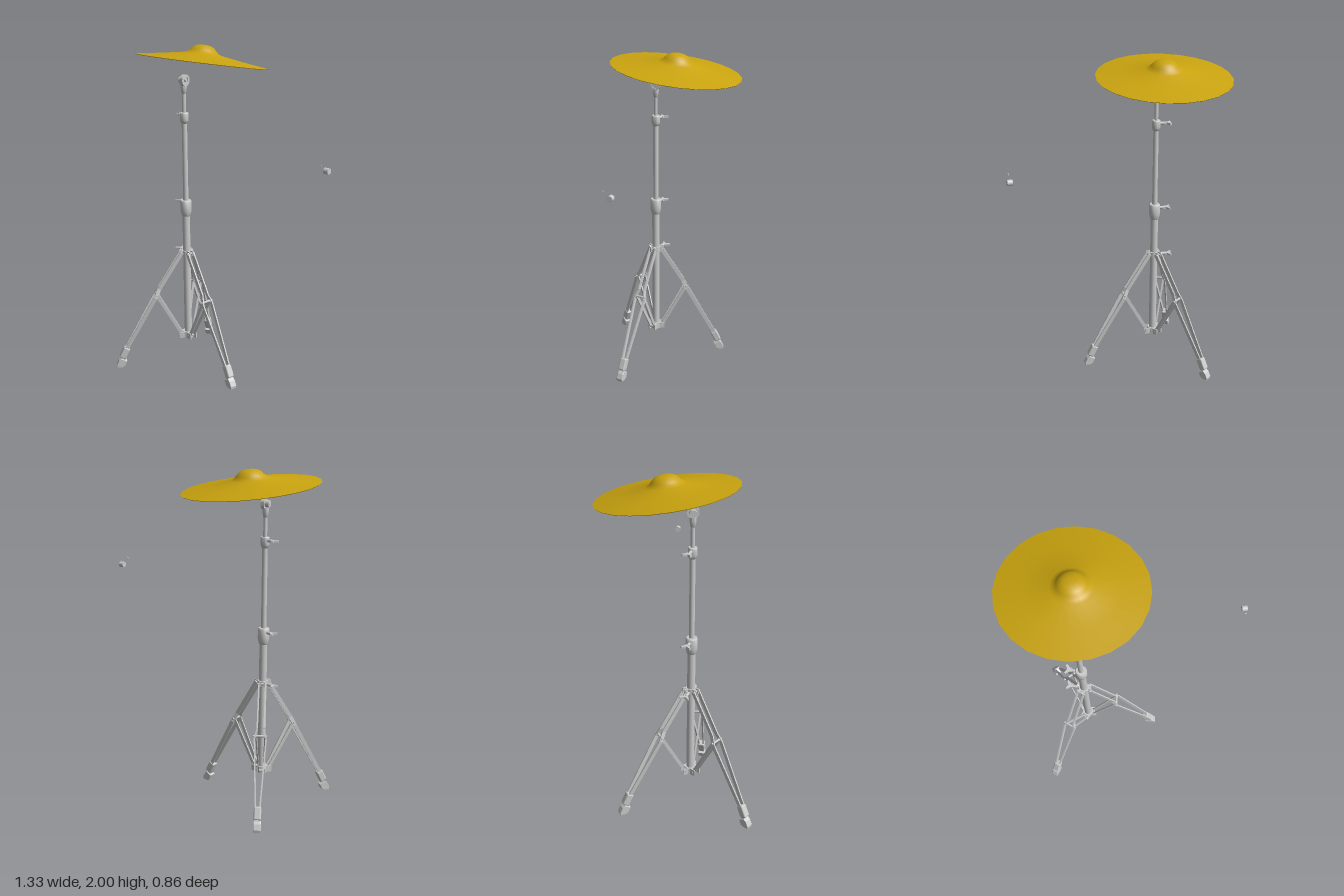
import * as THREE from 'three';
import { RoundedBoxGeometry } from 'three/addons/geometries/RoundedBoxGeometry.js';
import { toCreasedNormals } from 'three/addons/utils/BufferGeometryUtils.js';

const steel = new THREE.MeshStandardMaterial({ color: 0xcccccc });
const brass = new THREE.MeshStandardMaterial({ color: 0xc9a30f, side: THREE.DoubleSide });
const V = (x, y, z) => new THREE.Vector3(x, y, z);

function add(parent, name, geometry, pos = [0, 0, 0], material = steel) {
  const mesh = new THREE.Mesh(geometry, material);
  mesh.name = name;
  mesh.position.set(...pos);
  parent.add(mesh);
  return mesh;
}

// Turned part from [radius, height] pairs, listed bottom to top
function turned(points, segments = 20) {
  const g = new THREE.LatheGeometry(points.map(p => new THREE.Vector2(...p)), segments);
  return toCreasedNormals(g, 0.6);
}

// Rectangular bar between two points: width in the leg's plane, thickness sideways
function bar(parent, name, a, b, width, thick, rounded = 0) {
  const length = a.distanceTo(b);
  const g = rounded
    ? new RoundedBoxGeometry(length, width, thick, 2, rounded)
    : new THREE.BoxGeometry(length, width, thick);
  const mesh = add(parent, name, g);
  const x = b.clone().sub(a).normalize();
  const y = V(0, 0, 1).cross(x).normalize();
  const z = x.clone().cross(y);
  mesh.quaternion.setFromRotationMatrix(new THREE.Matrix4().makeBasis(x, y, z));
  mesh.position.copy(a).add(b).multiplyScalar(0.5);
  return mesh;
}

// Clamp screw with a flat two-sided wing, pointing along local +x
function wingScrew(parent, y, start) {
  const g = new THREE.Group();
  g.name = 'wingScrew';
  g.position.y = y;
  g.rotation.y = Math.PI - 0.45;
  add(g, 'screwShaft', new THREE.CylinderGeometry(0.009, 0.009, 0.04, 10), [start + 0.015, 0, 0]).rotation.z = Math.PI / 2;
  const s = new THREE.Shape([[0, -0.012], [0.014, -0.012], [0.034, -0.03], [0.042, -0.022], [0.028, 0],
    [0.042, 0.022], [0.034, 0.03], [0.014, 0.012], [0, 0.012]].map(p => new THREE.Vector2(...p)));
  const wing = new THREE.ExtrudeGeometry(s, { depth: 0.012, bevelEnabled: false });
  wing.translate(0, 0, -0.006).rotateX(Math.PI / 2);
  add(g, 'screwWing', wing, [start + 0.025, 0, 0]);
  parent.add(g);
}

// One folding leg, reaching out along local +x
function makeLeg(angle) {
  const leg = new THREE.Group();
  leg.name = 'leg';
  leg.rotation.y = -angle;
  for (const s of [-1, 1]) {
    const path = [V(0.032, 0.755, s * 0.02), V(0.178, 0.52, s * 0.02),
      V(0.203, 0.468, s * 0.034), V(0.405, 0.105, s * 0.012)];
    for (let i = 0; i < 3; i++) bar(leg, 'legStrip', path[i], path[i + 1], 0.023, 0.008);
    bar(leg, 'legBrace', V(0.197, 0.485, s * 0.026), V(0.036, 0.195, s * 0.014), 0.02, 0.007);
    add(leg, 'topLug', new THREE.BoxGeometry(0.035, 0.03, 0.008), [0.03, 0.75, s * 0.012]);
    add(leg, 'bottomLug', new THREE.BoxGeometry(0.04, 0.038, 0.008), [0.036, 0.2, s * 0.022]);
  }
  // Hinge bolts
  for (const [r, y, len] of [[0.197, 0.482, 0.085], [0.036, 0.75, 0.056], [0.038, 0.2, 0.056]])
    add(leg, 'hingeBolt', new THREE.CylinderGeometry(0.007, 0.007, len, 10), [r, y, 0]).rotation.x = Math.PI / 2;
  // Foot: sleeve, neck and angled pad
  bar(leg, 'footSleeve', V(0.39, 0.13, 0), V(0.424, 0.062, 0), 0.042, 0.042, 0.008);
  bar(leg, 'footNeck', V(0.412, 0.07, 0), V(0.428, 0.038, 0), 0.026, 0.028);
  const pad = new THREE.Shape([[0.398, 0.04], [0.43, 0.058], [0.445, 0.045], [0.46, 0.016],
    [0.458, 0.002], [0.425, 0.002], [0.41, 0.012]].map(p => new THREE.Vector2(...p)));
  const padGeo = new THREE.ExtrudeGeometry(pad, {
    depth: 0.034, bevelSize: 0.002, bevelThickness: 0.004, bevelSegments: 1 });
  add(leg, 'footPad', padGeo, [0, 0, -0.017]);
  return leg;
}

export function createModel() {
  const root = new THREE.Group();
  const stand = new THREE.Group();
  stand.name = 'stand';
  stand.position.set(-0.31, 0, 0.09);
  root.add(stand);

  // Telescoping tubes
  for (const [name, r, y0, y1] of [['lowerTube', 0.023, 0.18, 1.04], ['middleTube', 0.016, 1.04, 1.6], ['upperRod', 0.0115, 1.6, 1.76]])
    add(stand, name, new THREE.CylinderGeometry(r, r, y1 - y0, 20), [0, (y0 + y1) / 2, 0]);

  // Clamp collars
  add(stand, 'lowerClamp', turned([[0.022, 0.985], [0.027, 0.99], [0.034, 1.02], [0.034, 1.08], [0.03, 1.086], [0.015, 1.086]]));
  add(stand, 'upperClamp', turned([[0.016, 1.555], [0.021, 1.56], [0.026, 1.575], [0.026, 1.615], [0.023, 1.62], [0.011, 1.62]]));
  add(stand, 'legCollar', turned([[0.022, 0.728], [0.031, 0.728], [0.031, 0.764], [0.022, 0.764]]));
  add(stand, 'bottomCollar', turned([[0, 0.18], [0.034, 0.18], [0.034, 0.22], [0.022, 0.22]]));
  wingScrew(stand, 1.062, 0.03);
  wingScrew(stand, 1.6, 0.024);
  wingScrew(stand, 0.748, 0.045);

  // Tripod legs
  for (const deg of [15, 135, 250]) stand.add(makeLeg(THREE.MathUtils.degToRad(deg)));

  // Tilter joint: socket, cheeks and ratchet ring
  add(stand, 'tilterSocket', turned([[0.011, 1.73], [0.014, 1.735], [0.018, 1.765], [0.018, 1.785], [0, 1.785]]));
  const ring = new THREE.Shape().absarc(0, 0, 0.034, 0, Math.PI * 2);
  ring.holes.push(new THREE.Path().absarc(0, 0, 0.021, 0, Math.PI * 2));
  const ringGeo = new THREE.ExtrudeGeometry(ring, { depth: 0.02, bevelEnabled: false, curveSegments: 12 });
  ringGeo.translate(0, 0, -0.01).rotateY(Math.PI / 2);
  add(stand, 'tilterRing', toCreasedNormals(ringGeo, 0.6), [0.008, 1.808, 0]);
  add(stand, 'tilterHub', new THREE.CylinderGeometry(0.021, 0.021, 0.036, 16), [-0.006, 1.808, 0]).rotation.z = Math.PI / 2;
  add(stand, 'tilterBolt', new THREE.CylinderGeometry(0.01, 0.01, 0.048, 10), [-0.001, 1.808, 0]).rotation.z = Math.PI / 2;

  // Cymbal: shallow bow with a bell, flat underside and hollow bell
  const cymbal = turned([[0, 0.075], [0.035, 0.07], [0.058, 0.05], [0.066, 0.025], [0.068, 0], [0.39, 0],
    [0.392, 0.003], [0.25, 0.023], [0.11, 0.046], [0.09, 0.054], [0.077, 0.068], [0.062, 0.084],
    [0.042, 0.094], [0.02, 0.098], [0, 0.099]], 24);
  const disc = add(root, 'cymbal', cymbal, [-0.275, 1.904, -0.043], brass);
  disc.quaternion.setFromUnitVectors(V(0, 1, 0), V(0.045, 1, -0.142).normalize());

  // Loose knob and pin at the side
  const knob = add(root, 'looseKnob', new THREE.CylinderGeometry(0.017, 0.017, 0.03, 16), [0.645, 1.4, 0.068]);
  knob.rotation.set(0, -0.12, Math.PI / 2);
  add(root, 'loosePin', new THREE.CylinderGeometry(0.004, 0.004, 0.008, 8), [0.633, 1.432, 0.113]);
  return root;
}
